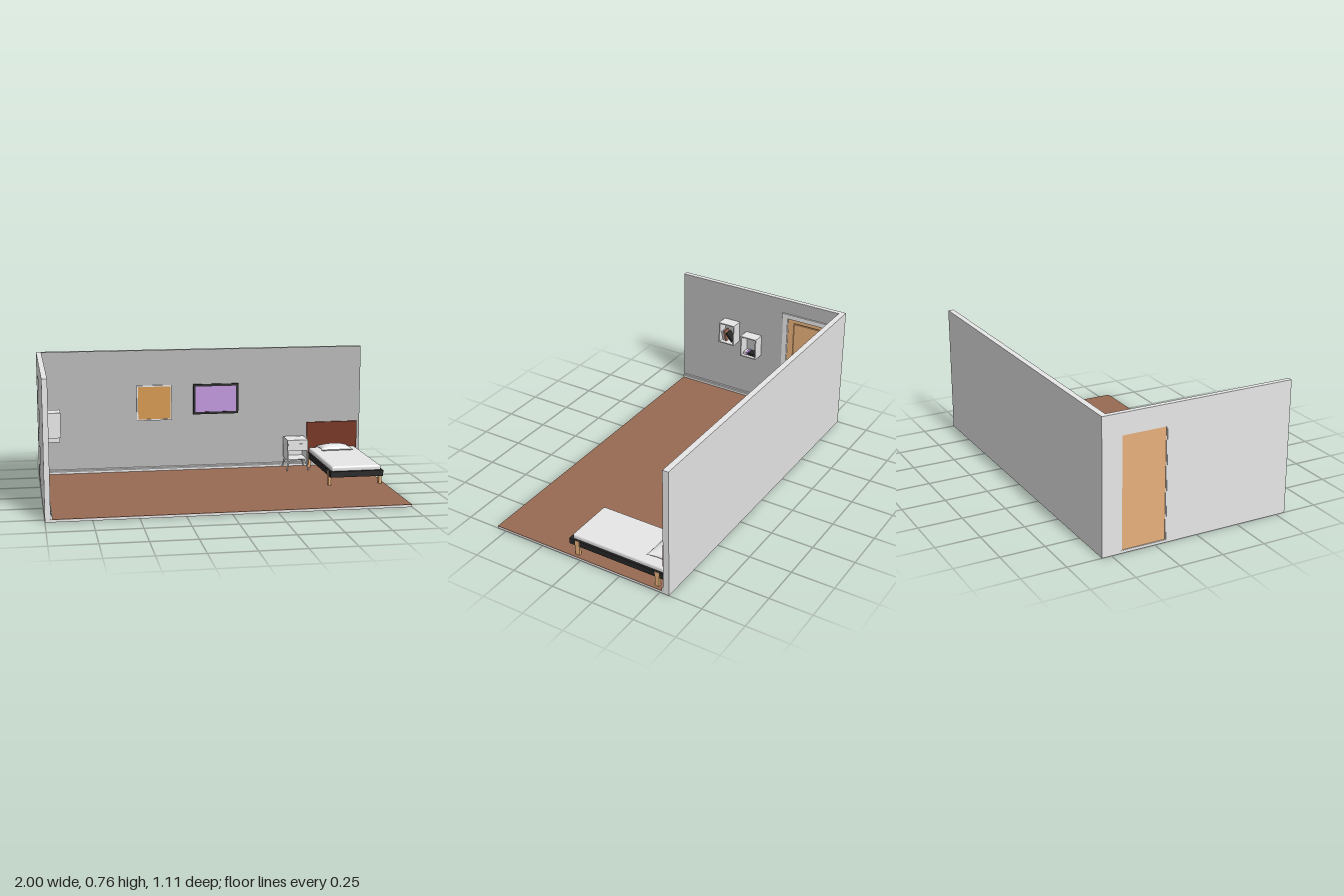
import * as THREE from 'three';
import { RoundedBoxGeometry } from 'three/addons/geometries/RoundedBoxGeometry.js';

const paint = (name, color) => {
  const m = new THREE.MeshStandardMaterial({ color });
  m.name = name;
  return m;
};

export function createModel() {
  const white = paint('white', 0xe7e7e7);
  const wallGrey = paint('wallGrey', 0xb8b8b8);
  const floorBrown = paint('floorBrown', 0x976a53);
  const wood = paint('lightWood', 0xe7b07b);
  const black = paint('black', 0x262626);
  const purple = paint('purple', 0xc197de);
  const orange = paint('orange', 0xd5984f);
  const red = paint('darkRed', 0x76321f);

  const room = new THREE.Group();
  room.name = 'bedroom';
  const group = (name, parent = room) => {
    const g = new THREE.Group();
    g.name = name;
    parent.add(g);
    return g;
  };
  const add = (parent, name, geo, mat) => {
    const m = new THREE.Mesh(geo, mat);
    m.name = name;
    parent.add(m);
    return m;
  };
  // box given by its limits on each axis
  const box = (parent, name, mat, x0, x1, y0, y1, z0, z1) => {
    const m = add(parent, name, new THREE.BoxGeometry(x1 - x0, y1 - y0, z1 - z0), mat);
    m.position.set((x0 + x1) / 2, (y0 + y1) / 2, (z0 + z1) / 2);
    return m;
  };
  const rect = (P, x0, x1, y0, y1) => new P([[x0, y0], [x1, y0], [x1, y1], [x0, y1]]
    .map(p => new THREE.Vector2(...p)));
  // rectangular panel with rectangular holes, each [x0, x1, y0, y1]
  const panel = (outer, holes, depth) => {
    const s = rect(THREE.Shape, ...outer);
    s.holes = holes.map(h => rect(THREE.Path, ...h));
    return new THREE.ExtrudeGeometry(s, { depth, bevelEnabled: false });
  };
  // the same panel turned to face +x, with its limits given in z
  const sidePanel = (outer, holes, x0, x1) => {
    const flip = ([a, b, c, d]) => [-b, -a, c, d];
    return panel(flip(outer), holes.map(flip), x1 - x0).rotateY(Math.PI / 2).translate(x0, 0, 0);
  };

  // floor and walls
  const F = 0.015, H = 0.76, Z = 0.555, doorHole = [-0.445, -0.185, F, 0.645];
  const shell = group('shell');
  box(shell, 'floorSlab', white, -1, 1, 0, 0.013, -Z, Z);
  box(shell, 'floorBoards', floorBrown, -0.97, 1, 0.013, F, -0.522, Z);
  box(shell, 'backWall', white, -1, 1, 0.013, H, -Z, -0.522);
  box(shell, 'backWallPaint', wallGrey, -0.97, 1, F, H - 0.001, -0.522, -0.52);
  add(shell, 'sideWall', sidePanel([-0.522, Z, 0.013, H], [doorHole], -1, -0.972), white);
  add(shell, 'sideWallPaint', sidePanel([-0.52, Z, F, H - 0.001], [doorHole], -0.972, -0.97), wallGrey);

  // skirting boards from one moulded profile
  const skirting = length => new THREE.ExtrudeGeometry(new THREE.Shape(
    [[0, 0], [0.01, 0], [0.01, 0.014], [0.006, 0.018], [0.006, 0.022], [0.003, 0.025], [0, 0.025]]
      .map(p => new THREE.Vector2(...p))), { depth: length, bevelEnabled: false });
  add(shell, 'backSkirting', skirting(1.97).rotateY(-Math.PI / 2), white).position.set(1, F, -0.52);
  add(shell, 'sideSkirting', skirting(Z + 0.155), white).position.set(-0.97, F, -0.155);
  add(shell, 'cornerSkirting', skirting(0.045), white).position.set(-0.97, F, -0.52);

  // door with two sunk panels, casing and round knob
  const door = group('door');
  const sunk = [[-0.4, -0.228, 0.36, 0.615], [-0.4, -0.228, 0.042, 0.3]];
  box(door, 'doorCore', wood, -0.994, -0.981, F, 0.64, -0.44, -0.19);
  add(door, 'doorRails', sidePanel([-0.44, -0.19, F, 0.64], sunk, -0.981, -0.973), wood);
  sunk.forEach(([a, b, c, d]) =>
    box(door, 'doorPanel', wood, -0.981, -0.976, c + 0.008, d - 0.008, a + 0.008, b - 0.008));
  add(door, 'doorLining', sidePanel([-0.445, -0.185, F, 0.645], [[-0.44, -0.19, F + 0.001, 0.64]], -0.998, -0.97), white);
  [[-0.188, -0.157], [-0.472, -0.442]].forEach(([a, b]) => {
    box(door, 'casing', white, -0.97, -0.964, F, 0.645, a, b);
  });
  box(door, 'casingHead', white, -0.97, -0.96, 0.642, 0.671, -0.477, -0.15);
  const stem = add(door, 'knobStem', new THREE.CylinderGeometry(0.004, 0.006, 0.022, 16), white);
  stem.rotation.z = -Math.PI / 2;
  stem.position.set(-0.964, 0.33, -0.206);
  add(door, 'knob', new THREE.SphereGeometry(0.01, 20, 14), white).position.set(-0.953, 0.33, -0.206);

  // framed pictures
  const picture = (name, x0, x1, y0, y1, t, frameMat, artMat) => {
    const g = group(name);
    add(g, 'frame', panel([x0, x1, y0, y1], [[x0 + t, x1 - t, y0 + t, y1 - t]], 0.01), frameMat)
      .position.z = -0.52;
    box(g, 'canvas', artMat, x0 + t, x1 - t, y0 + t, y1 - t, -0.52, -0.514);
  };
  picture('orangePicture', -0.402, -0.188, 0.33, 0.546, 0.008, white, orange);
  picture('purplePicture', -0.055, 0.225, 0.36, 0.546, 0.014, black, purple);

  // open cube shelves
  const cube = (name, z0, z1, y0, y1) => {
    const g = group(name);
    add(g, 'cubeFrame', sidePanel([z0, z1, y0, y1],
      [[z0 + 0.007, z1 - 0.007, y0 + 0.007, y1 - 0.007]], -0.97, -0.895), white);
    return g;
  };
  const book = (g, mat, thick, tall, y, z, tilt) => {
    const b = add(g, 'book', new THREE.BoxGeometry(0.05, tall, thick), mat);
    b.position.set(-0.94, y, z);
    b.rotation.x = tilt;
  };
  const upper = cube('upperShelf', 0.147, 0.255, 0.389, 0.527);
  book(upper, white, 0.008, 0.06, 0.428, 0.237, 0.1);
  book(upper, floorBrown, 0.011, 0.066, 0.431, 0.222, 0.25);
  book(upper, black, 0.011, 0.066, 0.428, 0.192, -0.7);
  upper.children.slice(1, 3).forEach(b => { b.rotation.x = 0.25; });
  upper.children[3].rotation.x = 0.7;
  // lean all books the same way, tops towards the front
  upper.children.slice(1).forEach(b => { b.rotation.x = Math.abs(b.rotation.x); });
  const lower = cube('lowerShelf', -0.011, 0.098, 0.334, 0.473);
  book(lower, white, 0.013, 0.018, 0.35, 0.077, 0);
  book(lower, purple, 0.01, 0.018, 0.35, 0.064, 0);
  book(lower, black, 0.052, 0.014, 0.349, 0.028, 0);

  // bed
  const bed = group('bed');
  box(bed, 'bedFrame', black, 0.662, 0.978, 0.07, 0.104, -0.512, 0.083);
  [0.668, 0.972].forEach(x => [0.031, -0.47].forEach(z =>
    box(bed, 'bedLeg', wood, x - 0.008, x + 0.008, F, 0.103, z - 0.013, z + 0.013)));
  add(bed, 'mattress', new RoundedBoxGeometry(0.296, 0.034, 0.572, 4, 0.012), white)
    .position.set(0.82, 0.115, -0.218);
  box(bed, 'headboard', red, 0.66, 0.98, 0.1, 0.29, -0.516, -0.506);

  // pillow: a grid puffed up in the middle and pinched in along its sides
  const puff = new THREE.BoxGeometry(2, 2, 2, 20, 1, 20);
  const p = puff.attributes.position;
  for (let i = 0; i < p.count; i++) {
    const u = p.getX(i), v = p.getZ(i);
    const h = Math.sqrt(Math.max(0, (1 - u * u) * (1 - v * v)));
    p.setXYZ(i, u * 0.105 * (1 - 0.14 * (1 - v * v)), Math.sign(p.getY(i)) * 0.026 * h,
      v * 0.067 * (1 - 0.14 * (1 - u * u)));
  }
  puff.computeVertexNormals();
  add(bed, 'pillow', puff, white).position.set(0.82, 0.139, -0.434);

  // nightstand with drawer, open niche and splayed legs
  const stand = group('nightstand');
  add(stand, 'cabinet', panel([0.508, 0.636, 0.08, 0.206], [[0.514, 0.63, 0.086, 0.14]], 0.129), white)
    .position.z = -0.501;
  box(stand, 'cabinetBack', white, 0.508, 0.636, 0.08, 0.206, -0.505, -0.501);
  box(stand, 'drawerFront', white, 0.511, 0.633, 0.145, 0.183, -0.372, -0.369);
  [-1, 1].forEach(sx => [-1, 1].forEach(sz => {
    const top = new THREE.Vector3(0.572 + sx * 0.05, 0.082, -0.437 + sz * 0.053);
    const foot = new THREE.Vector3(0.572 + sx * 0.068, F + 0.001, -0.437 + sz * 0.068);
    const dir = top.clone().sub(foot);
    const leg = add(stand, 'standLeg', new THREE.CylinderGeometry(0.006, 0.004, dir.length(), 12), white);
    leg.position.copy(top).add(foot).multiplyScalar(0.5);
    leg.quaternion.setFromUnitVectors(new THREE.Vector3(0, 1, 0), dir.normalize());
  }));

  return room;
}
